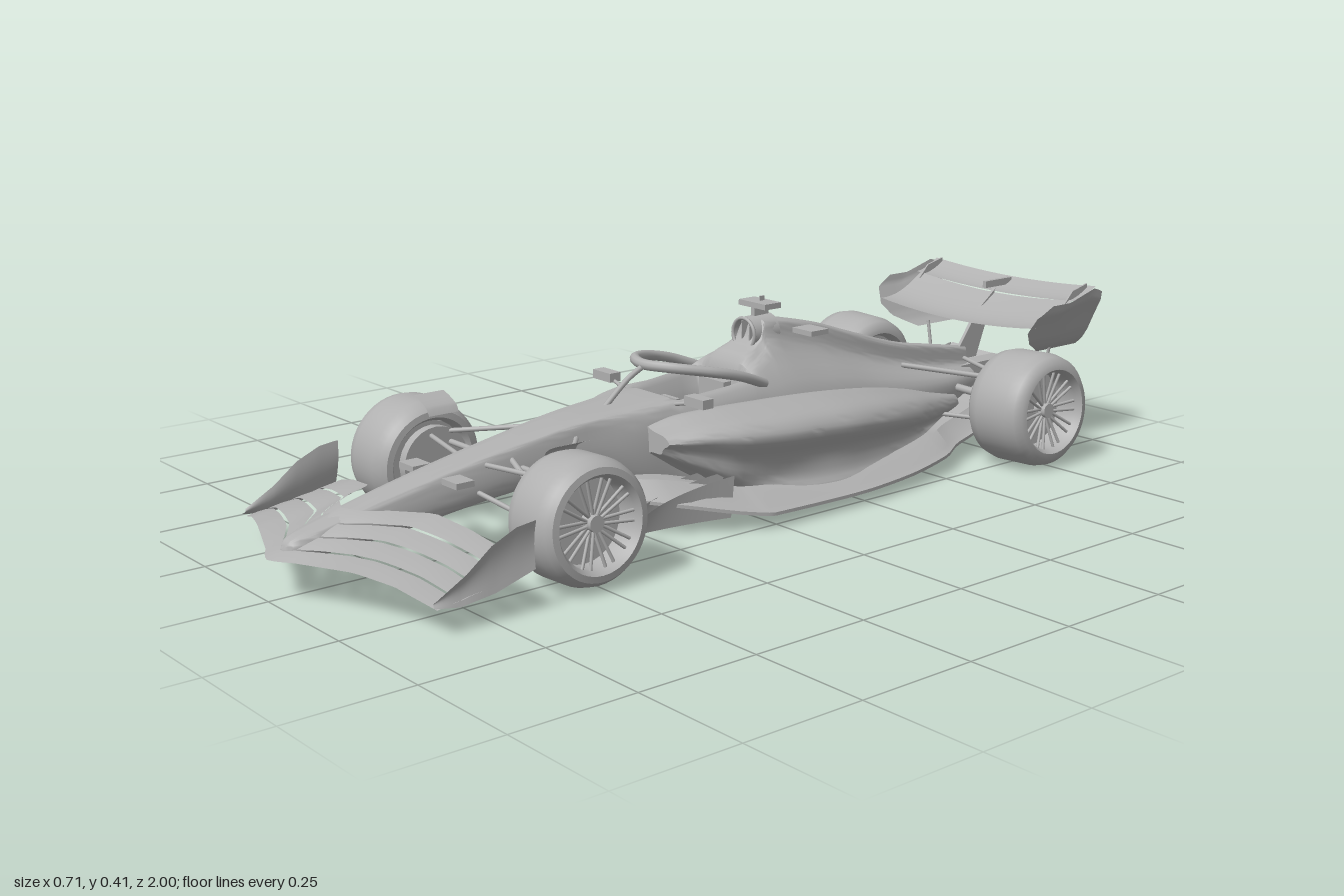
import * as THREE from 'three';
import { toCreasedNormals } from 'three/addons/utils/BufferGeometryUtils.js';

const bodyGrey = new THREE.MeshStandardMaterial({ color: 0xb0b0b0, side: THREE.DoubleSide });
bodyGrey.name = 'bodyGrey';
const V = (x, y, z) => new THREE.Vector3(x, y, z);
const mix = THREE.MathUtils.lerp;

function add(parent, name, geo) {
  const m = new THREE.Mesh(geo, bodyGrey);
  m.name = name;
  parent.add(m);
  return m;
}

// Monotone smooth interpolation of rows [z, a, b, ...] with z falling
function sample(rows, k, t) {
  const slope = (i, c) => (rows[i + 1][c] - rows[i][c]) / (rows[i + 1][0] - rows[i][0]);
  const tangent = (i, c) => {
    if (i === 0) return slope(0, c);
    if (i === rows.length - 1) return slope(i - 1, c);
    const a = slope(i - 1, c), b = slope(i, c);
    return a * b <= 0 ? 0 : (2 * a * b) / (a + b);
  };
  const h = rows[k + 1][0] - rows[k][0], t2 = t * t, t3 = t2 * t;
  return rows[k].map((v, c) => c === 0 ? v + h * t :
    v * (2 * t3 - 3 * t2 + 1) + rows[k + 1][c] * (3 * t2 - 2 * t3) +
    h * (tangent(k, c) * (t3 - 2 * t2 + t) + tangent(k + 1, c) * (t3 - t2)));
}

// Symmetric body skinned through mirrored half profiles, from front to back
function loft(rows, profile, steps, round) {
  const rings = [];
  for (let k = 0; k < rows.length - 1; k++) {
    for (let s = 0; s < steps + (k === rows.length - 2 ? 1 : 0); s++) {
      const r = sample(rows, k, s / steps);
      let half = profile(r).map(([x, y]) => V(x, y, r[0]));
      if (round > 1) half = new THREE.CatmullRomCurve3(half, false, 'centripetal').getPoints((half.length - 1) * round);
      half.forEach(p => { p.x = Math.max(0, p.x); });
      rings.push([...half, ...half.slice(1, -1).reverse().map(p => V(-p.x, p.y, p.z))]);
    }
  }
  const n = rings[0].length, idx = [];
  for (let k = 0; k < rings.length - 1; k++) for (let i = 0; i < n; i++) {
    const a = k * n + i, b = k * n + (i + 1) % n;
    idx.push(a, a + n, b, b, a + n, b + n);
  }
  const cap = (ring, base, flip) => THREE.ShapeUtils
    .triangulateShape(ring.map(p => new THREE.Vector2(p.x, p.y)), [])
    .forEach(([a, b, c]) => idx.push(base + a, base + (flip ? c : b), base + (flip ? b : c)));
  cap(rings[0], 0, false);
  cap(rings[rings.length - 1], (rings.length - 1) * n, true);
  const g = new THREE.BufferGeometry().setFromPoints(rings.flat());
  g.setIndex(idx);
  return toCreasedNormals(g, 0.7);
}

// Curved thin surface from fn(u, v)
function sheet(fn, nu = 24, nv = 8) {
  const g = new THREE.PlaneGeometry(1, 1, nu, nv), p = g.attributes.position;
  for (let i = 0; i < p.count; i++) p.setXYZ(i, ...fn(p.getX(i) + 0.5, p.getY(i) + 0.5));
  g.computeVertexNormals();
  return g;
}

// Flat upright plate from a (z, y) outline
function plate(outline, x, t = 0.004) {
  const s = new THREE.Shape(outline.map(([z, y]) => new THREE.Vector2(z, y)));
  return new THREE.ExtrudeGeometry(s, { depth: t, bevelEnabled: false }).rotateY(-Math.PI / 2).translate(x + t / 2, 0, 0);
}

// Piecewise linear curve through (s, value) points
function curve(s, pts) {
  let i = 0;
  while (i < pts.length - 2 && s > pts[i + 1][0]) i++;
  return mix(pts[i][1], pts[i + 1][1], (s - pts[i][0]) / (pts[i + 1][0] - pts[i][0]));
}

const box = (w, h, d, x, y, z) => new THREE.BoxGeometry(w, h, d).translate(x, y, z);
const drum = (r, w, x, y, z) => new THREE.CylinderGeometry(r, r, w, 28).rotateZ(Math.PI / 2).translate(x, y, z);

function rod(parent, name, a, b, r) {
  const A = V(...a), B = V(...b);
  const m = add(parent, name, new THREE.CylinderGeometry(r, r, A.distanceTo(B), 10));
  m.position.copy(A).add(B).multiplyScalar(0.5);
  m.quaternion.setFromUnitVectors(V(0, 1, 0), B.sub(A).normalize());
}

function wheel(name, R, hw) {
  const g = new THREE.Group();
  g.name = name;
  const pts = [[.086, -.84], [.094, -1], [.107, -.97], [R - .006, -.8], [R, -.5], [R, .5],
    [R - .006, .8], [.107, .97], [.094, 1], [.086, .84], [.084, 0], [.086, -.84]];
  add(g, 'tyre', toCreasedNormals(new THREE.LatheGeometry(
    pts.map(([r, x]) => new THREE.Vector2(r, x * hw)), 48).rotateZ(-Math.PI / 2), 0.7));
  add(g, 'brakeDrum', drum(.084, hw * .9, -hw * .25, 0, 0));
  add(g, 'hub', drum(.016, .03, hw * .6, 0, 0));
  for (let i = 0; i < 10; i++) {
    const a = i * Math.PI / 5, at = (x, r, d) => [hw * x, r * Math.cos(a + d), r * Math.sin(a + d)];
    for (const d of [-.2, .2]) rod(g, 'spoke', at(.64, .014, 0), at(.77, .086, d), .0033);
  }
  return g;
}

export function createModel() {
  const car = new THREE.Group();
  car.name = 'racingCar';

  // Nose, cockpit tub and engine cover: z, bottom, width, shoulder, top width, rim, centre
  add(car, 'noseAndChassis', loft([
    [.968, .085, .006, .09, .004, .094, .095], [.955, .079, .022, .095, .015, .106, .109],
    [.9, .077, .036, .105, .026, .122, .126], [.75, .088, .044, .135, .034, .157, .162],
    [.6, .108, .05, .165, .04, .187, .192], [.45, .122, .056, .19, .046, .213, .218],
    [.33, .125, .065, .205, .056, .23, .234], [.2, .08, .09, .212, .072, .238, .243],
    [.12, .05, .1, .212, .08, .243, .247], [.1, .05, .105, .212, .08, .246, .16],
    [-.06, .05, .12, .225, .088, .262, .16], [-.08, .05, .122, .225, .085, .272, .285],
    [-.14, .05, .128, .22, .062, .3, .325], [-.16, .05, .128, .22, .052, .315, .366],
    [-.3, .05, .122, .21, .04, .29, .342], [-.45, .05, .108, .185, .03, .245, .295],
    [-.6, .06, .088, .165, .02, .205, .25], [-.7, .07, .068, .155, .016, .185, .232],
    [-.82, .1, .04, .15, .012, .17, .21]],
  ([, b, w, s, wt, yt, yc]) => [[0, b], [w * .84, b], [w, mix(b, s, .35)], [w * .95, s], [wt, yt],
    [wt * .78, mix(yt, yc, .4)], [wt * .6, mix(yt, yc, .9)], [0, yc]], 4, 4));

  // Sidepods flaring into the floor: z, width, bottom, shoulder, top, foot width
  add(car, 'sidepods', loft([
    [.2, .155, .15, .182, .2, .1], [.12, .2, .1, .185, .216, .12], [.04, .23, .06, .18, .22, .175],
    [-.1, .245, .04, .172, .217, .225], [-.2, .245, .036, .165, .212, .232], [-.35, .222, .035, .148, .196, .212],
    [-.5, .175, .04, .125, .17, .172], [-.6, .13, .045, .11, .15, .14], [-.72, .08, .06, .1, .125, .09]],
  ([, w, b, m, t, f]) => [[0, b], [f * .8, b], [f, b + .006], [Math.max(f * .94, w * .84), mix(b, m, .25)],
    [w * .88, mix(b, m, .6)], [w, m], [w * .92, mix(m, t, .65)], [w * .68, t], [w * .48, t + .006], [0, .135]], 5, 4));

  // Floor with tunnels and diffuser: z, width, plank width, plank y, roof y, edge y
  add(car, 'floor', loft([
    [.27, .12, .07, .02, .1, .07], [.2, .185, .07, .02, .095, .06], [.05, .262, .07, .02, .062, .032],
    [.02, .272, .07, .02, .06, .029],
    [-.2, .272, .065, .02, .055, .026], [-.35, .26, .06, .02, .055, .028], [-.53, .22, .05, .02, .06, .035],
    [-.63, .17, .04, .025, .07, .04], [-.75, .15, .03, .05, .095, .06], [-.88, .145, .02, .09, .13, .1]],
  ([, w, p, py, r, e]) => [[0, py], [p, py], [p + .012, r], [w * .72, r], [w * .93, e], [w, e],
    [w, e + .007], [w * .92, e + .012], [w * .74, r + .012], [0, r + .015]], 4, 1));
  add(car, 'keel', loft([[.33, .05, .026], [.3, .066, .05], [.24, .07, .075], [.12, .07, .1]],
    ([, w, t]) => [[0, .02], [w * .85, .02], [w, .024], [w, t], [0, t + .004]], 4, 1));

  // Air intake, camera and horns above the driver
  add(car, 'airIntake', new THREE.CylinderGeometry(.036, .038, .07, 28, 1, true)
    .rotateX(Math.PI / 2).translate(0, .334, -.165));
  add(car, 'intakeLip', new THREE.TorusGeometry(.034, .004, 8, 28).translate(0, .334, -.13));
  for (const x of [-.012, .012]) add(car, 'intakeVane', box(.003, .062, .04, x, .334, -.155));
  add(car, 'cameraStem', box(.012, .035, .04, 0, .382, -.175));
  add(car, 'cameraBar', box(.084, .012, .045, 0, .394, -.175));
  add(car, 'antenna', box(.004, .016, .012, 0, .402, -.18));

  // Cockpit guard and interior
  const hoop = [[.1, .25, -.1], [.109, .28, -.02], [.1, .297, .05], [.06, .308, .115], [0, .309, .14]];
  const path = [...hoop, ...hoop.slice(0, -1).reverse().map(([x, y, z]) => [-x, y, z])].map(p => V(...p));
  add(car, 'halo', new THREE.TubeGeometry(new THREE.CatmullRomCurve3(path), 60, .011, 10));
  add(car, 'haloPillar', new THREE.TubeGeometry(new THREE.CatmullRomCurve3(
    [V(0, .306, .14), V(0, .285, .18), V(0, .232, .245)]), 16, .006, 8));
  add(car, 'steeringWheel', box(.05, .03, .01, 0, .215, .07));
  add(car, 'seatBack', box(.08, .1, .02, 0, .2, -.05));

  // Front wing: four stacked elements
  for (let e = 0; e < 4; e++) {
    add(car, 'frontWingElement', sheet((u, v) => {
      const side = u * 2 - 1, s = Math.abs(side), f = (e + v * .9) / 4;
      const lead = curve(s, [[0, .998], [.06, .992], [.15, .973], [.6, .912], [1, .863]]);
      const trail = curve(s, [[0, .84], [.12, .82], [.34, .712], [1, .667]]);
      const low = curve(s, [[0, .08], [.5, .086], [.75, .076], [1, .05]]);
      const high = curve(s, [[0, .148], [.2, .147], [.6, .126], [.8, .108], [1, .08]]);
      return [side * .345, mix(low, high, Math.pow(f, 1.1)) + .004 * v * (1 - v), mix(lead, trail, f)];
    }, 50, 6));
  }

  // Rear wing, beam wing and supports
  const wing = (name, half, z0, z1, y0, y1, bow, dip) => add(car, name, sheet((u, v) => {
    const s = u * 2 - 1;
    return [s * half, mix(y0, y1, Math.pow(v, 1.4)) + bow * s * s - dip * Math.sin(v * Math.PI), mix(z0, z1, v)];
  }));
  wing('rearWingMain', .236, -.782, -.918, .278, .326, .016, .008);
  wing('rearWingFlap', .247, -.915, -.985, .33, .356, .012, .002);
  wing('beamWingLower', .17, -.86, -.935, .1, .13, .006, .004);
  wing('beamWingUpper', .172, -.91, -.97, .135, .163, .006, .003);
  add(car, 'rearWingPylon', plate([[-.78, .18], [-.86, .18], [-.92, .335], [-.86, .29]], 0, .008));
  add(car, 'flapActuator', box(.01, .016, .09, 0, .348, -.93));
  add(car, 'crashStructure', box(.045, .05, .16, 0, .145, -.87));
  add(car, 'rearLight', box(.022, .03, .012, 0, .145, -.955));

  // Everything that is mirrored left to right
  const left = new THREE.Group();
  left.name = 'leftSide';
  const front = wheel('frontWheel', .122, .07);
  front.position.set(.279, .127, .515);
  const rear = wheel('rearWheel', .126, .079);
  rear.position.set(.271, .129, -.735);
  for (const w of [front, rear]) { w.rotation.z = .04; left.add(w); }
  add(left, 'frontWheelWinglet', sheet((u, v) =>
    [mix(.195, .25, u), .225 + .034 * Math.sqrt(u), mix(.53, .46, v)], 8, 4));

  // Front wing endplate: curved plate sweeping up to the rear
  add(left, 'frontEndplate', sheet((u, v) => {
    const low = curve(u, [[0, .055], [.25, .046], [.6, .055], [1, .08]]);
    const high = curve(u, [[0, .065], [.3, .1], [.55, .14], [.8, .163], [1, .168]]);
    return [.348 - .008 * Math.sin(v * 2.6), mix(low, high, v), mix(.87, .66, u) - .006 * v];
  }, 20, 8));

  // Front suspension
  rod(left, 'upperArmFront', [.05, .185, .56], [.22, .185, .52], .005);
  rod(left, 'upperArmRear', [.065, .205, .36], [.22, .185, .5], .005);
  rod(left, 'lowerArmFront', [.045, .135, .58], [.22, .09, .53], .005);
  rod(left, 'lowerArmRear', [.06, .135, .38], [.22, .09, .5], .005);
  rod(left, 'pushRod', [.045, .185, .5], [.21, .105, .515], .006);
  rod(left, 'steeringArm', [.045, .165, .48], [.22, .165, .48], .006);
  add(left, 'noseCamera', box(.05, .012, .04, .075, .172, .64));
  add(left, 'frontBrakeDuct', drum(.075, .02, .206, .127, .515));

  // Rear suspension
  rod(left, 'rearUpperArm', [.03, .205, -.58], [.2, .18, -.73], .006);
  rod(left, 'rearUpperArmBack', [.03, .19, -.79], [.2, .18, -.74], .005);
  rod(left, 'rearLowerArm', [.05, .1, -.6], [.2, .085, -.72], .005);
  rod(left, 'rearLowerArmBack', [.04, .11, -.8], [.2, .085, -.75], .005);
  rod(left, 'driveShaft', [.03, .135, -.735], [.2, .13, -.735], .009);
  add(left, 'rearBrakeDuct', drum(.075, .02, .19, .129, -.735));

  // Floor fences curving outward, mirror and horn
  [.1, .135, .168].forEach(x => add(left, 'floorFence', sheet((u, v) =>
    [x + .035 * u * u + .01 * v, mix(.02, mix(.035, .11, Math.sqrt(u)), v),
      mix(.33 - .03 * v, .08, u)], 12, 4)));
  add(left, 'mirror', box(.058, .019, .028, .15, .256, .12));
  rod(left, 'mirrorStalk', [.13, .25, .12], [.078, .238, .125], .004);
  add(left, 'intakeHorn', box(.06, .011, .05, .062, .333, -.265));

  // Rear wing endplates curling inward at the foot
  add(left, 'rearEndplate', sheet((u, v) => {
    const lead = curve(v, [[0, -.86], [.25, -.8], [.5, -.775], [.8, -.785], [1, -.83]]);
    const x = curve(v, [[0, .185], [.12, .203], [.3, .218], [.6, .236], [.85, .252], [1, .255]]);
    return [x, mix(.222, curve(u, [[0, .342], [.35, .342], [.85, .366], [1, .355]]), v), mix(lead, -1, u)];
  }, 12, 20));
  add(left, 'lowerEndplate', sheet((u, v) =>
    [mix(.168, .178, v), mix(mix(.088, .115, u), mix(.145, .168, u), v), mix(-.86, -.972, u)], 6, 6));
  rod(left, 'endplateStrut', [.176, .15, -.9], [.19, .23, -.9], .004);
  add(left, 'rearEndplateFin', plate([[-.9, .33], [-.98, .35], [-.98, .372], [-.93, .36]], .225));
  car.add(left);
  const right = left.clone();
  right.name = 'rightSide';
  right.scale.x = -1;
  car.add(right);

  return car;
}
